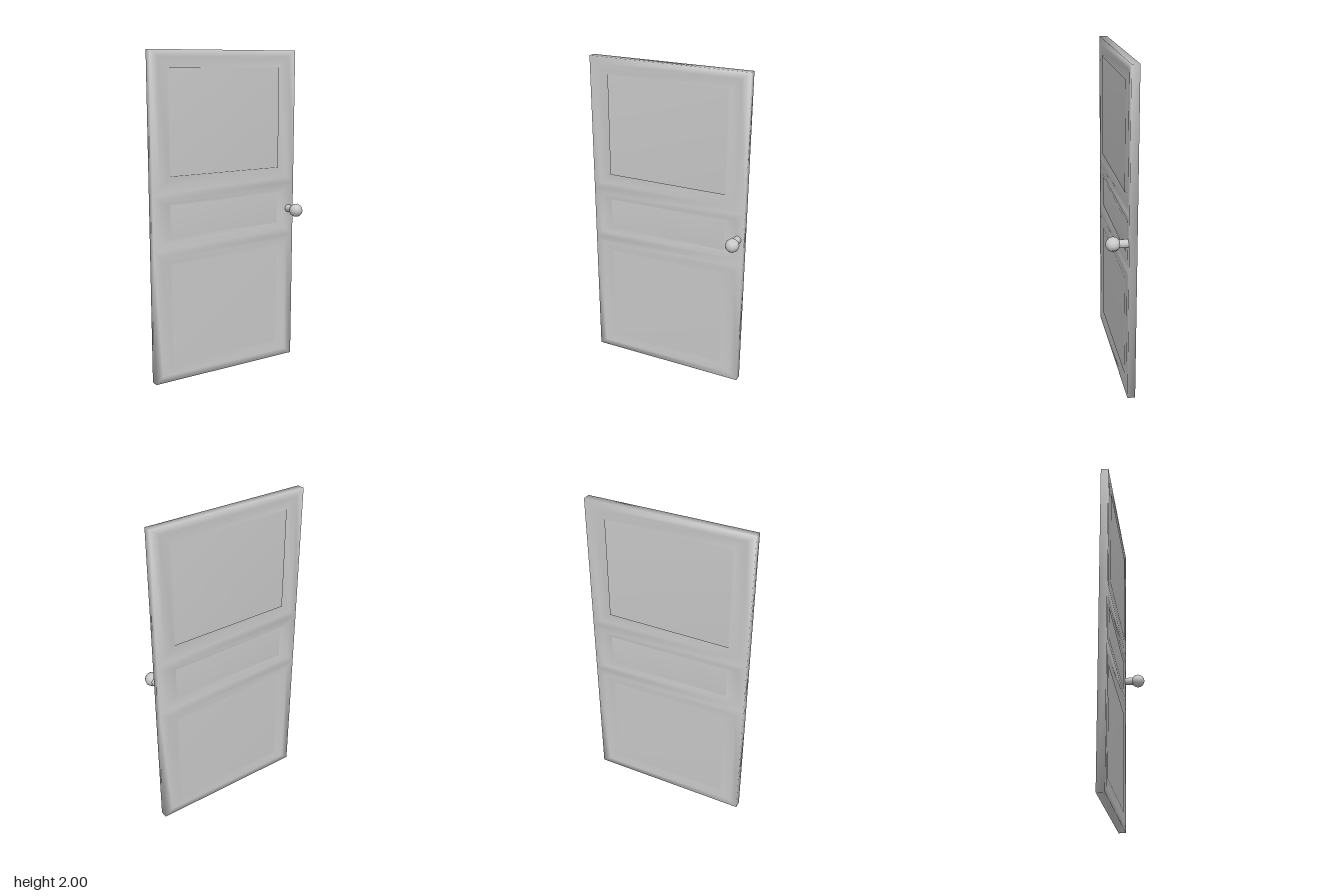
import * as THREE from 'three';
import { mergeVertices } from 'three/addons/utils/BufferGeometryUtils.js';

const HALF = 0.0235, MID_Z = -0.0645, X0 = -0.51, X1 = 0.5;

// Each cell of the door: nested rectangles [x0, x1, y0, y1, height above mid-plane]
const cell = (y0, y1, opening, panel, rise) => [
  [X0, X1, y0, y1, HALF],
  [-0.46, 0.445, ...opening, HALF],
  [-0.395, 0.38, ...panel, HALF - 0.006],
  [-0.39, 0.375, panel[0] + 0.003, panel[1] - 0.003, HALF + rise],
];
const cells = [
  cell(0, 0.83, [0.04, 0.79], [0.1, 0.745], -0.002),
  cell(0.83, 1.17, [0.87, 1.13], [0.91, 1.105], -0.002),
  cell(1.17, 2, [1.21, 1.96], [1.27, 1.9], 0.0045),
];

function slabGeometry() {
  const pos = [];
  const quad = (a, b, c, d) => pos.push(...a, ...b, ...c, ...a, ...c, ...d);
  const corners = ([x0, x1, y0, y1, h], s) =>
    [[x0, y0, s * h], [x1, y0, s * h], [x1, y1, s * h], [x0, y1, s * h]];

  for (const rings of cells) {
    // Moulded faces, mirrored front to back
    for (const s of [1, -1]) {
      const face = (a, b, c, d) => (s > 0 ? quad(a, b, c, d) : quad(d, c, b, a));
      const loops = rings.map(r => corners(r, s));
      for (let k = 0; k < loops.length - 1; k++)
        for (let i = 0; i < 4; i++) {
          const j = (i + 1) % 4;
          face(loops[k][i], loops[k][j], loops[k + 1][j], loops[k + 1][i]);
        }
      face(...loops[loops.length - 1]);
    }
    // Outer edges of the slab
    const f = corners(rings[0], 1), b = corners(rings[0], -1);
    quad(f[1], b[1], b[2], f[2]);
    quad(f[3], b[3], b[0], f[0]);
    if (rings === cells[0]) quad(f[0], b[0], b[1], f[1]);
    if (rings === cells[2]) quad(f[2], b[2], b[3], f[3]);
  }
  const g = new THREE.BufferGeometry();
  g.setAttribute('position', new THREE.Float32BufferAttribute(pos, 3));
  const merged = mergeVertices(g, 1e-5);
  merged.computeVertexNormals();
  return merged;
}

export function createModel() {
  const group = new THREE.Group();
  group.name = 'door';
  const material = new THREE.MeshStandardMaterial({ color: 0xcccccc });
  const add = (name, geometry, x, y, z) => {
    const mesh = new THREE.Mesh(geometry, material);
    mesh.name = name;
    mesh.position.set(x, y, z);
    group.add(mesh);
    return mesh;
  };

  // Three-panel door leaf
  add('doorLeaf', slabGeometry(), 0, 0, MID_Z);

  // Knob on its short stem, front only
  const stem = new THREE.CylinderGeometry(0.025, 0.025, 0.07, 10, 1).rotateX(Math.PI / 2);
  add('knobStem', stem, 0.463, 1, -0.012);
  const ball = new THREE.SphereGeometry(0.043, 10, 8).rotateX(Math.PI / 2);
  add('knob', ball, 0.463, 1, 0.044);

  return group;
}
